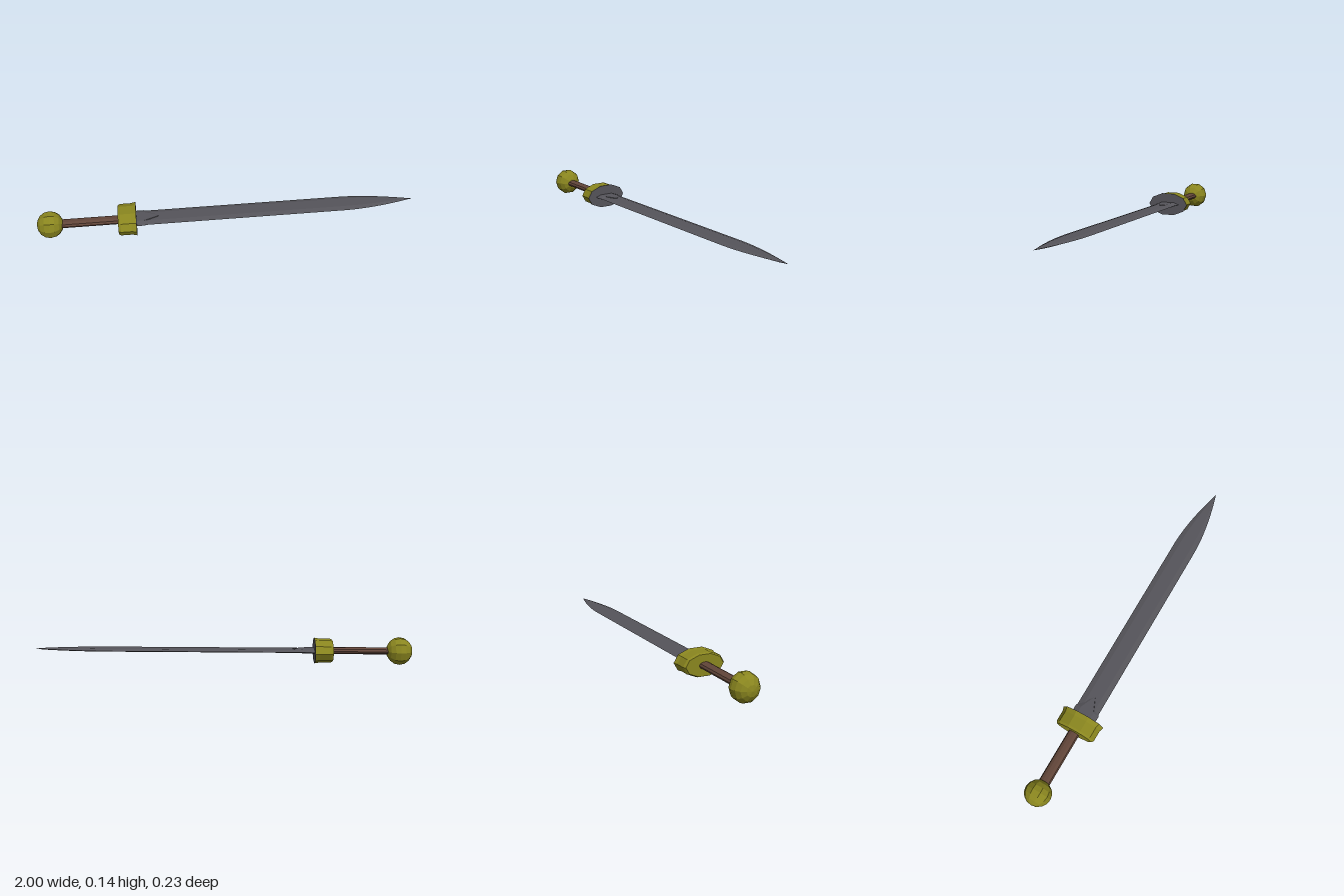
import * as THREE from 'three';

const CY = 0.07; // height of the long axis

const steel = new THREE.MeshStandardMaterial({ name: 'steel', color: 0x55545a });
const brass = new THREE.MeshStandardMaterial({ name: 'brass', color: 0x8a861f });
const leather = new THREE.MeshStandardMaterial({ name: 'leather', color: 0x614539 });

// Cross-sections as [z, y] loops, running from +z towards +y
const ellipse = (n) => Array.from({ length: n }, (_, i) => {
  const a = (i / n) * Math.PI * 2;
  return [Math.cos(a), Math.sin(a)];
});
const hexagon = [[1, 0], [0.55, 1], [-0.55, 1], [-1, 0], [-0.55, -1], [0.55, -1]];

// Faceted solid through stations [x, halfWidth, halfHeight], capped at both ends
function loft(name, material, section, stations) {
  const rings = stations.map(([x, w, h]) =>
    section.map(([z, y]) => new THREE.Vector3(x, CY + y * h, z * w)));
  const points = [];
  const n = section.length;
  const last = rings.length - 1;
  const startCentre = new THREE.Vector3(stations[0][0], CY, 0);
  const endCentre = new THREE.Vector3(stations[last][0], CY, 0);
  for (let j = 0; j < n; j++) {
    const k = (j + 1) % n;
    for (let i = 0; i < last; i++) {
      const a = rings[i], b = rings[i + 1];
      points.push(a[j], b[j], a[k], a[k], b[j], b[k]);
    }
    points.push(startCentre, rings[0][j], rings[0][k]);
    points.push(endCentre, rings[last][k], rings[last][j]);
  }
  const geometry = new THREE.BufferGeometry().setFromPoints(points);
  geometry.computeVertexNormals();
  const mesh = new THREE.Mesh(geometry, material);
  mesh.name = name;
  return mesh;
}

export function createModel() {
  const group = new THREE.Group();
  group.name = 'sword';

  // Ball pommel, faceted around the long axis
  const ball = [];
  for (let i = 0; i <= 8; i++) {
    const a = (i / 8) * Math.PI;
    const r = Math.max(0.0735 * Math.sin(a), 0.0005);
    ball.push([-0.932 - 0.068 * Math.cos(a), r * 0.97, r]);
  }
  group.add(loft('pommel', brass, ellipse(10), ball));

  // Oval grip
  group.add(loft('grip', leather, ellipse(10), [[-0.9, 0.03, 0.018], [-0.56, 0.03, 0.018]]));

  // Oval guard, bevelled at the grip and flared at the blade
  const flare = [[-0.58, 0.86], [-0.568, 0.94], [-0.51, 0.94], [-0.487, 1]];
  group.add(loft('guard', brass, ellipse(10), flare.map(([x, s]) => [x, 0.117 * s, 0.0655 * s])));
  group.add(loft('guardPlate', steel, ellipse(10), [[-0.487, 0.117, 0.0655], [-0.485, 0.117, 0.0655]]));

  // Pointed collar where the blade leaves the guard
  group.add(loft('bladeCollar', steel, hexagon,
    [[-0.485, 0.067, 0.011], [-0.445, 0.067, 0.011], [-0.37, 0.006, 0.0105]]));

  // Blade, straight and then curving in to the tip
  const blade = [[-0.485, 0.062, 0.0075], [0.62, 0.062, 0.0075]];
  for (let i = 1; i <= 8; i++) {
    const t = i / 8;
    const s = Math.max(1 - Math.pow(t, 1.75), 0.005);
    blade.push([0.62 + 0.38 * t, 0.062 * s, 0.0075 * Math.sqrt(s)]);
  }
  group.add(loft('blade', steel, hexagon, blade));

  return group;
}
